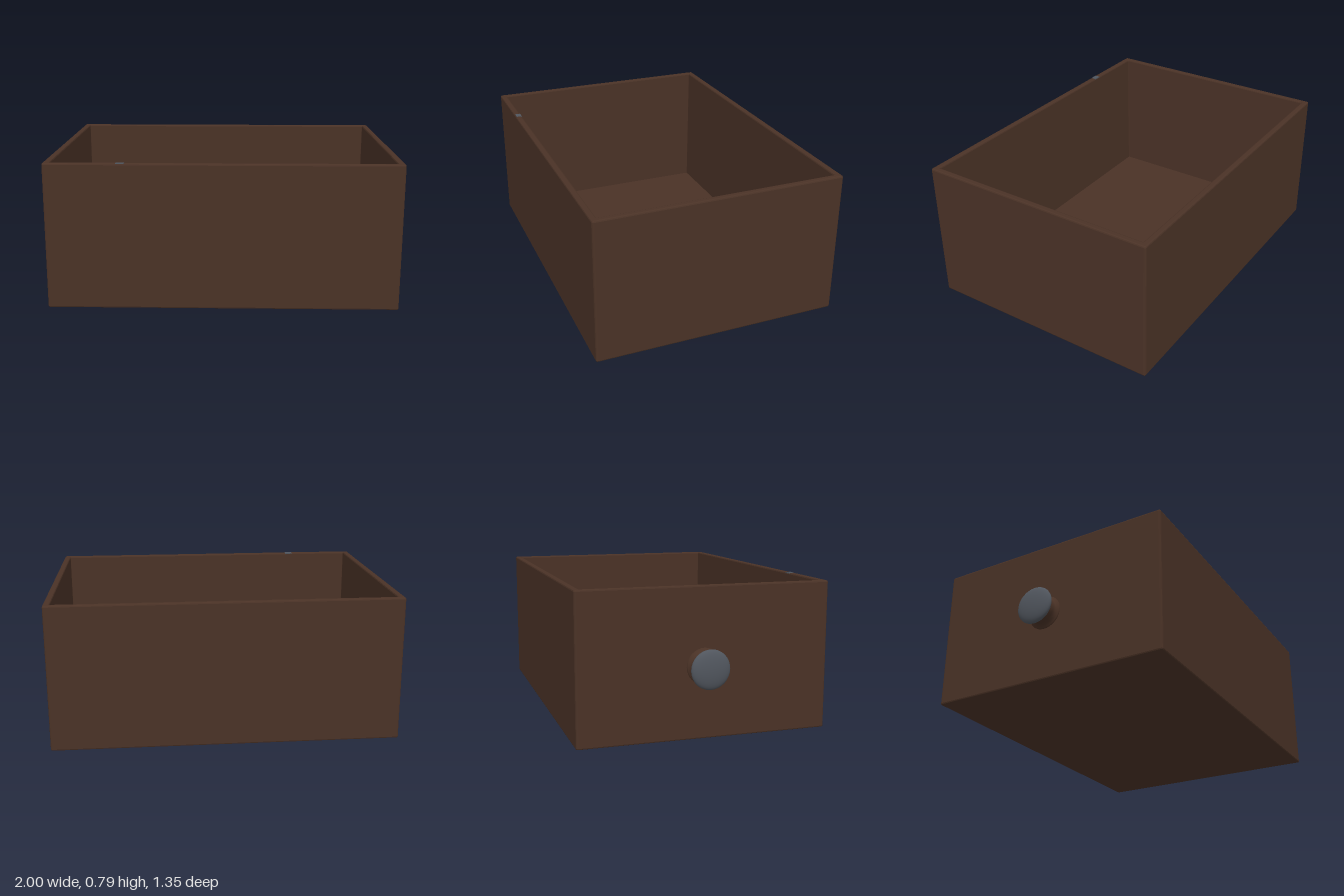
import * as THREE from 'three';

const material = (name, color) => {
  const m = new THREE.MeshStandardMaterial({ color });
  m.name = name;
  return m;
};

// Rounded rectangle outline, centred on the origin
function roundedRect(Path, w, d, r) {
  const p = new Path(), x = w / 2, y = d / 2;
  p.moveTo(-x + r, -y);
  p.lineTo(x - r, -y);
  p.quadraticCurveTo(x, -y, x, -y + r);
  p.lineTo(x, y - r);
  p.quadraticCurveTo(x, y, x - r, y);
  p.lineTo(-x + r, y);
  p.quadraticCurveTo(-x, y, -x, y - r);
  p.lineTo(-x, -y + r);
  p.quadraticCurveTo(-x, -y, -x + r, -y);
  return p;
}

export function createModel() {
  const wood = material('dark wood', 0x4a3226);
  const metal = material('grey metal', 0x51565e);
  const W = 1.88, H = 0.79, D = 1.35, wall = 0.035, cx = 0.06, bevel = 0.008;

  const group = new THREE.Group();
  group.name = 'drawer';
  const add = (name, geometry, mat, x = 0, y = 0, z = 0, parent = group) => {
    const mesh = new THREE.Mesh(geometry, mat);
    mesh.name = name;
    mesh.position.set(x, y, z);
    parent.add(mesh);
    return mesh;
  };

  // Four walls with softened edges, open at the top
  const outline = roundedRect(THREE.Shape, W, D, 0.012);
  outline.holes.push(roundedRect(THREE.Path, W - 2 * wall, D - 2 * wall, 0.004));
  const walls = new THREE.ExtrudeGeometry(outline, {
    depth: H - 2 * bevel, bevelEnabled: true, bevelThickness: bevel,
    bevelSize: bevel, bevelOffset: -bevel, bevelSegments: 2, curveSegments: 3,
  });
  walls.translate(0, 0, bevel).rotateX(-Math.PI / 2);
  add('walls', walls, wood, cx);

  // Floor panel
  add('floor', new THREE.BoxGeometry(W - 2 * wall + 0.03, wall, D - 2 * wall + 0.03), wood, cx, wall / 2);

  // Small metal inlay on the front rim
  add('rimInlay', new THREE.BoxGeometry(0.045, 0.006, 0.03), metal, -0.475, H - 0.002, 0.655);

  // Knob, turned about an axis that points to -x
  const knob = new THREE.Group();
  knob.name = 'knob';
  knob.position.set(-0.875, 0.38, -0.01);
  knob.rotation.z = Math.PI / 2;
  group.add(knob);
  const lathe = (pts) => new THREE.LatheGeometry(pts.map(([r, y]) => new THREE.Vector2(r, y)), 32);
  add('knobStem', lathe([[0.092, -0.005], [0.095, 0.004], [0.09, 0.011], [0.077, 0.017],
    [0.073, 0.035], [0.075, 0.07], [0.06, 0.08]]), wood, 0, 0, 0, knob);
  const cap = new THREE.SphereGeometry(1, 32, 20).scale(0.103, 0.031, 0.103);
  add('knobCap', cap, metal, 0, 0.094, 0, knob);

  return group;
}
